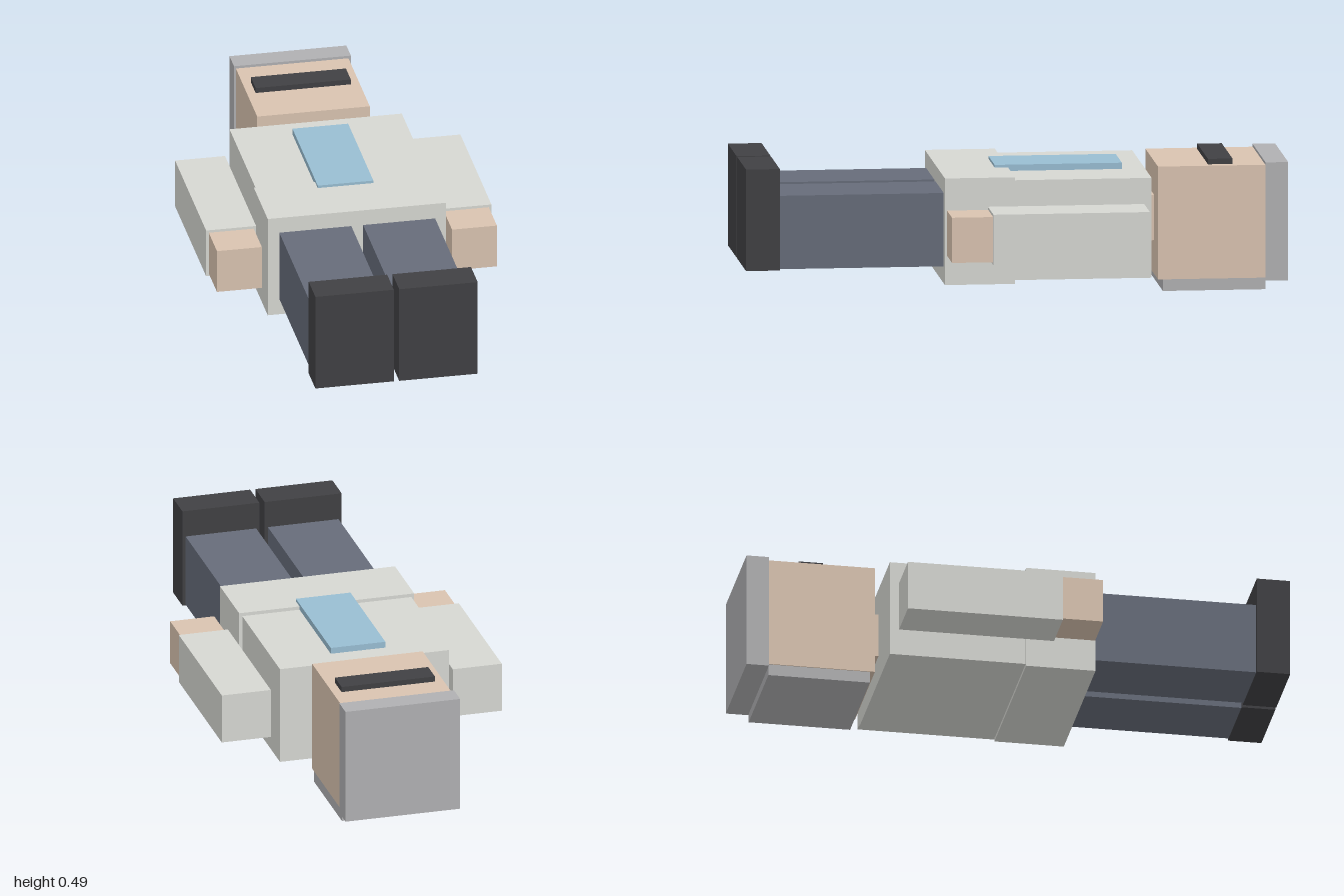
import * as THREE from 'three';

const mat = (color) => new THREE.MeshStandardMaterial({ color });

export function createModel() {
  const model = new THREE.Group();
  model.name = 'lyingBlockFigure';

  const skin = mat(0xd9c3b0);
  const cloth = mat(0xd6d7d2);
  const hair = mat(0xb0b0b2);
  const trousers = mat(0x666c79);
  const dark = mat(0x404043);
  const blue = mat(0x98bdd2);

  // Box given by its extents along each axis
  const block = (name, material, [x0, x1], [y0, y1], [z0, z1]) => {
    const mesh = new THREE.Mesh(new THREE.BoxGeometry(x1 - x0, y1 - y0, z1 - z0), material);
    mesh.position.set((x0 + x1) / 2, (y0 + y1) / 2, (z0 + z1) / 2);
    mesh.name = name;
    model.add(mesh);
  };

  // Same box on both sides of the body
  const pair = (name, material, [x0, x1], y, z) => {
    block('left' + name, material, [x0, x1], y, z);
    block('right' + name, material, [-x1, -x0], y, z);
  };

  // Head, hair and eye bar
  block('head', skin, [-0.212, 0.207], [0.043, 0.46], [-0.922, -0.523]);
  block('hairTop', hair, [-0.219, 0.216], [0.033, 0.47], [-1, -0.917]);
  block('hairBack', hair, [-0.208, 0.206], [0, 0.045], [-0.917, -0.541]);
  block('eyeBar', dark, [-0.18, 0.174], [0.455, 0.48], [-0.8, -0.71]);
  block('neck', skin, [-0.085, 0.081], [0.168, 0.335], [-0.53, -0.48]);

  // Body with the front panel
  block('torso', cloth, [-0.322, 0.319], [0.068, 0.437], [-0.487, 0.018]);
  block('hips', cloth, [-0.333, 0.331], [0.056, 0.45], [0.016, 0.273]);
  block('frontPanel', blue, [-0.105, 0.102], [0.436, 0.46], [-0.402, 0.065]);

  // Arms
  pair('Sleeve', cloth, [0.345, 0.531], [0.158, 0.345], [-0.457, 0.117]);
  pair('Hand', skin, [0.354, 0.521], [0.168, 0.335], [0.11, 0.268]);

  // Legs and shoes
  pair('Leg', trousers, [0.022, 0.29], [0.119, 0.39], [0.268, 0.878]);
  pair('Shoe', dark, [0.01, 0.302], [0.116, 0.491], [0.876, 1]);

  return model;
}
